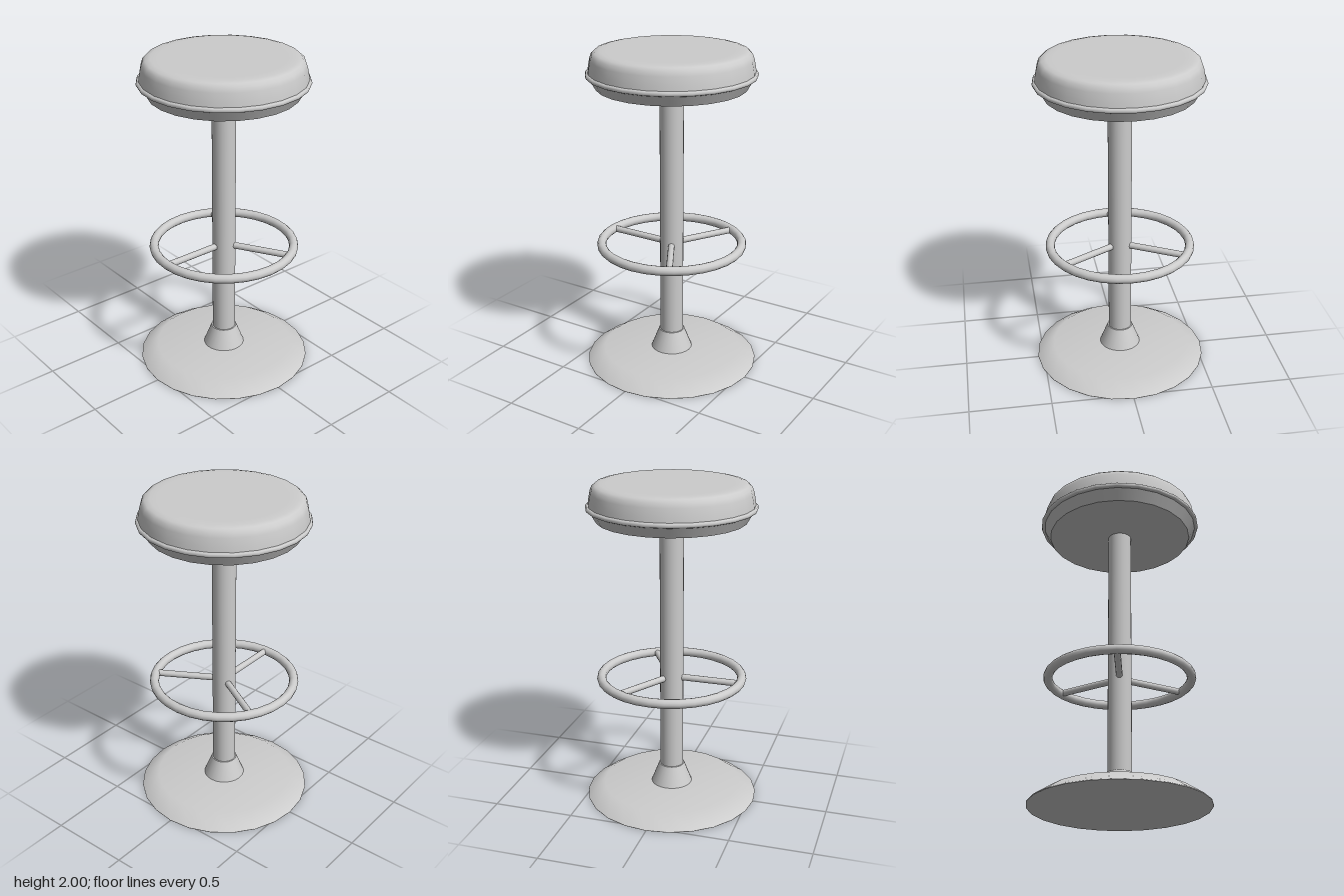
import * as THREE from 'three';

const SIDES = 24;

export function createModel() {
  const model = new THREE.Group();
  const grey = new THREE.MeshStandardMaterial({ color: 0xcccccc });
  grey.name = 'light grey';

  const add = (name, geometry, parent = model) => {
    const mesh = new THREE.Mesh(geometry, grey);
    mesh.name = name;
    parent.add(mesh);
    return mesh;
  };
  // Smooth turned part; the profile runs from bottom to top
  const turned = (name, profile) =>
    add(name, new THREE.LatheGeometry(profile.map(([r, y]) => new THREE.Vector2(r, y)), SIDES));
  // Flat disc facing down
  const underside = (name, radius, y) => {
    const disc = add(name, new THREE.CircleGeometry(radius, SIDES));
    disc.rotation.x = Math.PI / 2;
    disc.position.y = y;
  };

  // Foot plate with a softly shaded shoulder
  turned('basePlate', [[0.537, 0], [0.537, 0.005], [0.43, 0.075], [0, 0.075]]);
  underside('baseUnderside', 0.537, 0);

  // Collar and column
  const collar = add('baseCollar', new THREE.CylinderGeometry(0.08, 0.13, 0.13, SIDES));
  collar.position.y = 0.135;
  const column = add('column', new THREE.CylinderGeometry(0.072, 0.072, 1.6, SIDES, 1, true));
  column.position.y = 0.99;

  // Footrest ring on three spokes
  const footrest = new THREE.Group();
  footrest.name = 'footrest';
  footrest.position.y = 0.793;
  model.add(footrest);
  const ring = add('footrestRing', new THREE.TorusGeometry(0.434, 0.028, 12, 32), footrest);
  ring.rotation.x = Math.PI / 2;
  for (let i = 0; i < 3; i++) {
    const arm = new THREE.Group();
    arm.name = 'footrestArm';
    arm.rotation.y = (i * Math.PI * 2) / 3;
    footrest.add(arm);
    const spoke = add('footrestSpoke', new THREE.CylinderGeometry(0.02, 0.02, 0.37, 12), arm);
    spoke.rotation.x = Math.PI / 2;
    spoke.position.z = 0.245;
  }

  // Seat pan, piping and cushion
  underside('seatUnderside', 0.447, 1.78);
  turned('seatPan', [[0.447, 1.78], [0.487, 1.85]]);
  const piping = add('seatPiping', new THREE.TorusGeometry(0.492, 0.015, 8, SIDES));
  piping.rotation.x = Math.PI / 2;
  piping.position.y = 1.859;
  turned('seatCushion', [
    [0.493, 1.86], [0.488, 1.9], [0.478, 1.95], [0.468, 1.977],
    [0.45, 1.993], [0.42, 2], [0.37, 2], [0, 2],
  ]);

  return model;
}
